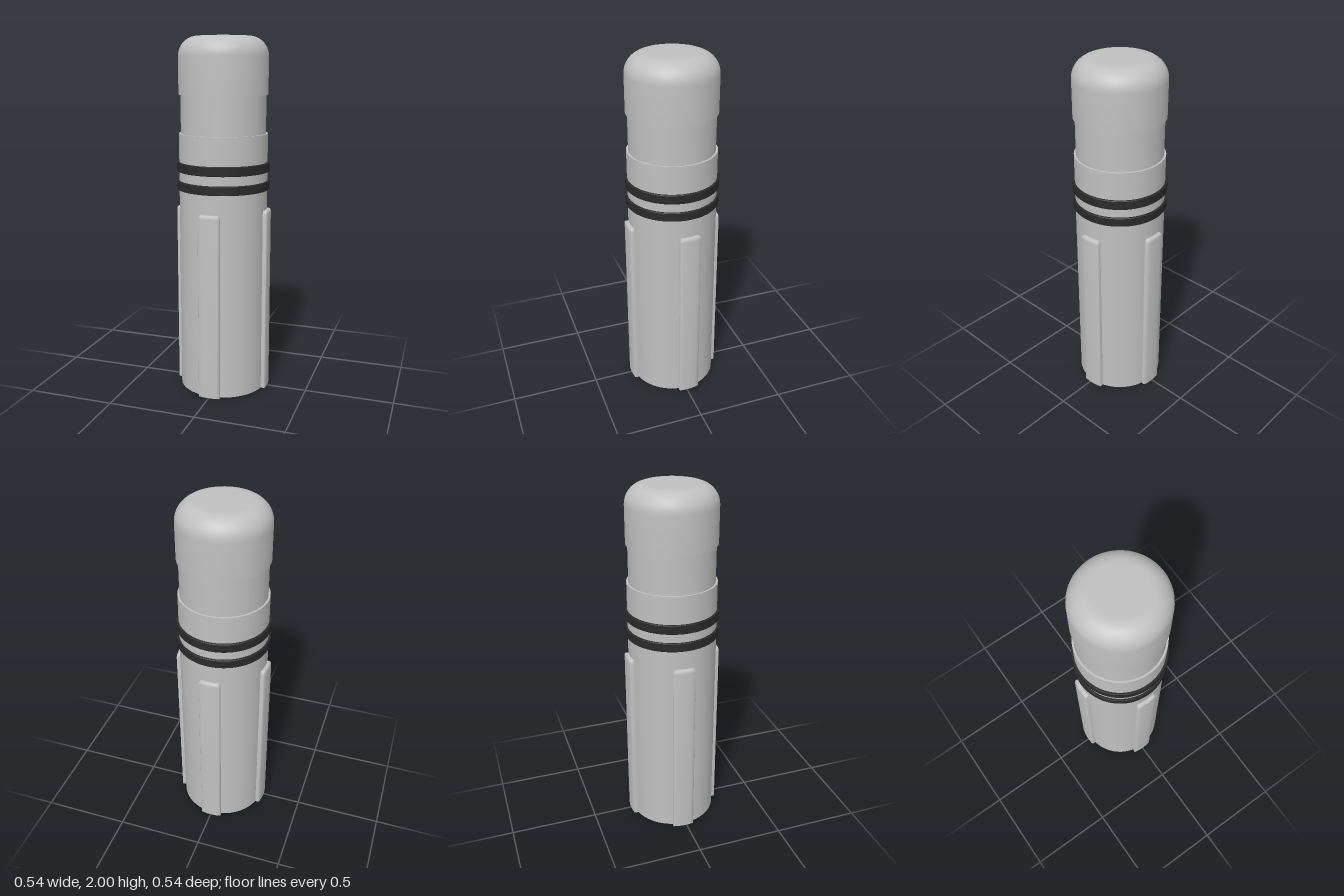
import * as THREE from 'three';
import { toCreasedNormals } from 'three/addons/utils/BufferGeometryUtils.js';

const SEGMENTS = 64;

// Revolve a profile of [radius, y] points listed from bottom to top, keeping hard edges
function turned(name, points, material) {
  const profile = points.map(([r, y]) => new THREE.Vector2(r, y));
  const geometry = toCreasedNormals(new THREE.LatheGeometry(profile, SEGMENTS), 0.5);
  const mesh = new THREE.Mesh(geometry, material);
  mesh.name = name;
  return mesh;
}

// Curved grip strip that hugs the barrel, with softened edges and top corners
function gripGeometry() {
  const inner = 0.235;
  // [y, outer radius, half width], top to bottom
  const rows = [
    [1.054, inner, 0.05], [1.054, 0.259, 0.05], [1.051, 0.265, 0.057],
    [1.044, 0.269, 0.062], [1.034, 0.27, 0.064], [0, 0.27, 0.064], [0, inner, 0.064],
  ];
  // [fraction of half width, drop below the outer radius]
  const side = [[1, 1], [1, 0.009], [0.97, 0.004], [0.91, 0], [0.6, 0], [0.3, 0]];
  const columns = [
    ...side.map(([f, d]) => [-f, d]), [0, 0],
    ...side.slice().reverse(),
  ];
  const geometry = new THREE.PlaneGeometry(1, 1, columns.length - 1, rows.length - 1);
  const position = geometry.attributes.position;
  rows.forEach(([y, outer, half], i) => columns.forEach(([f, drop], j) => {
    const r = Math.max(inner, outer - drop);
    const angle = (f * half) / 0.265;
    position.setXYZ(i * columns.length + j, r * Math.sin(angle), y, r * Math.cos(angle));
  }));
  return toCreasedNormals(geometry, 0.9);
}

export function createModel() {
  const model = new THREE.Group();
  model.name = 'cylinderHandle';

  const metal = new THREE.MeshStandardMaterial({ color: 0xc0c0c0 });
  metal.name = 'light grey metal';
  const rubber = new THREE.MeshStandardMaterial({ color: 0x2a2a2a });
  rubber.name = 'black rubber';

  // Main barrel and the narrower neck above it
  model.add(turned('barrel', [[0, 0], [0.248, 0], [0.248, 1.475], [0.23, 1.475]], metal));
  model.add(turned('neck', [[0.237, 1.47], [0.237, 1.69]], metal));

  // Cap with a rounded shoulder and flat top
  const cap = [[0.23, 1.687], [0.248, 1.687]];
  const fillet = 0.108;
  for (let i = 0; i <= 10; i++) {
    const a = (i / 10) * Math.PI / 2;
    cap.push([0.248 - fillet + fillet * Math.cos(a), 2 - fillet + fillet * Math.sin(a)]);
  }
  cap.push([0, 2]);
  model.add(turned('cap', cap, metal));

  // Two dark bands around the barrel
  [[1.164, 1.214], [1.266, 1.318]].forEach(([low, high], i) => {
    const e = 0.003;
    model.add(turned(i ? 'upperBand' : 'lowerBand', [
      [0.24, low], [0.26 - e, low], [0.26, low + e],
      [0.26, high - e], [0.26 - e, high], [0.24, high],
    ], rubber));
  });

  // Four grip strips, the side pair set slightly towards the back
  const grip = gripGeometry();
  const turn = Math.PI / 2 + 0.063;
  const grips = { frontGrip: 0, leftGrip: turn, backGrip: Math.PI, rightGrip: -turn };
  for (const [name, angle] of Object.entries(grips)) {
    const mesh = new THREE.Mesh(grip, metal);
    mesh.name = name;
    mesh.rotation.y = angle;
    model.add(mesh);
  }

  return model;
}
